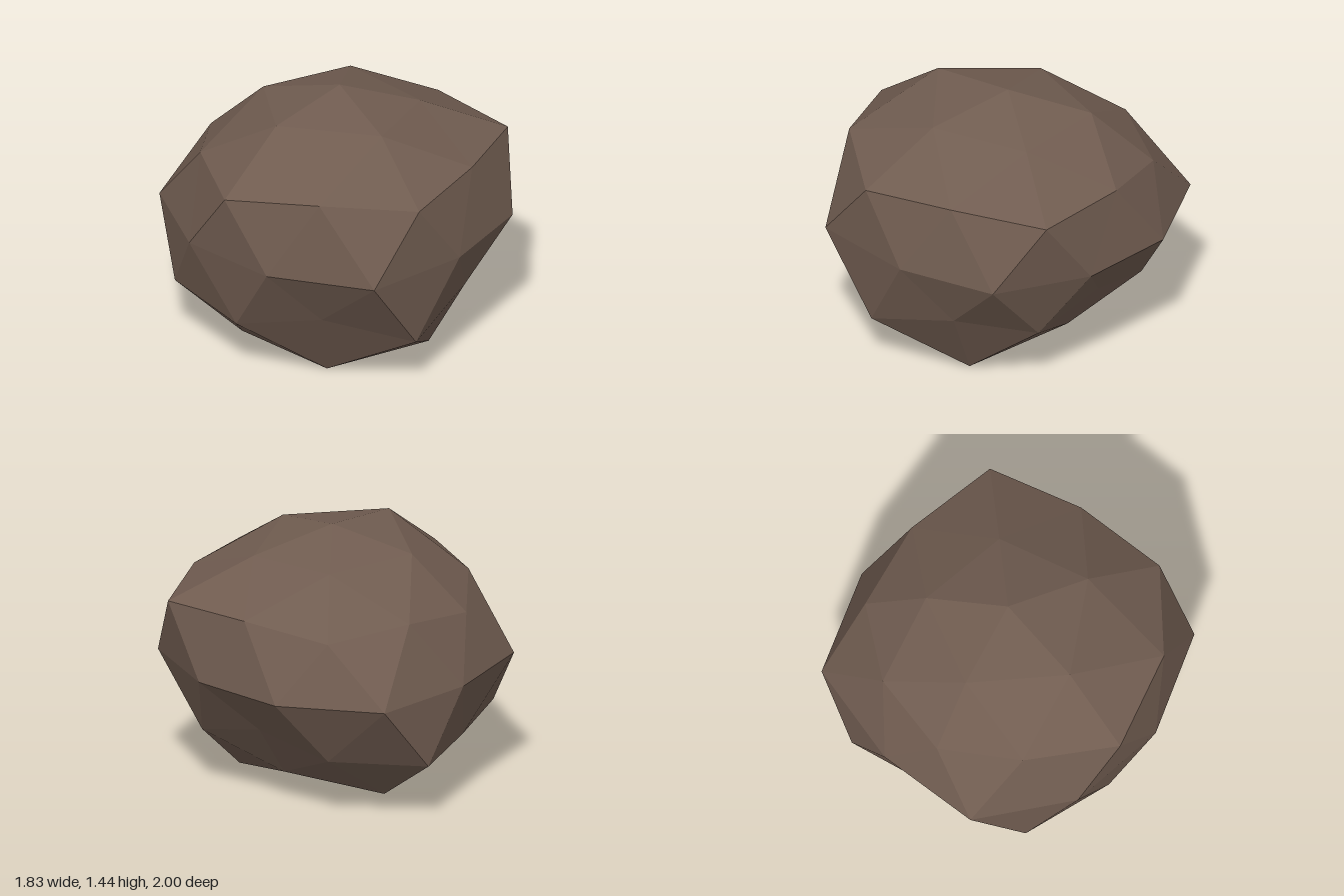
import * as THREE from 'three';

const CENTRE_Y = 0.72, FLATTEN = 0.83;

// One ring of points on a squashed sphere: height of the ring, first angle
// in degrees, and a radius for each evenly spaced point.
function ring(height, start, radii) {
  const across = Math.sqrt(1 - height * height);
  return radii.map((r, i) => {
    const a = THREE.MathUtils.degToRad(start + (360 / radii.length) * i);
    return [r * across * Math.cos(a), CENTRE_Y + r * height * FLATTEN, r * across * Math.sin(a)];
  });
}

function boulderGeometry() {
  // Rings of a once-divided icosahedron, pushed in and out
  const T = ring(1, 0, [0.87])[0];
  const U = ring(0.851, 0, [0.83, 0.89, 0.94, 0.86, 0.85]);
  const A = ring(0.447, 0, [1.02, 0.99, 1.0, 0.85, 0.87]);
  const M = ring(0.526, 36, [0.92, 1.0, 0.89, 0.86, 0.9]);
  const E = ring(0, 18, [0.93, 0.88, 1.0, 0.91, 0.915, 0.97, 0.885, 1.0, 0.9, 0.86]);
  const L = ring(-0.447, 36, [0.83, 0.83, 1.0, 1.02, 0.71]);
  const N = ring(-0.526, 0, [0.85, 1.0, 0.945, 0.87, 0.84]);
  const P = ring(-0.851, 36, [1.0, 1.01, 1.01, 0.94, 0.8]);
  const B = ring(-1, 0, [0.86])[0];

  const positions = [];
  const tri = (a, b, c) => positions.push(...c, ...b, ...a);
  for (let k = 0; k < 5; k++) {
    const n = (k + 1) % 5;
    const e0 = E[2 * k], e1 = E[2 * k + 1], e2 = E[(2 * k + 2) % 10];
    // Cap
    tri(T, U[k], U[n]);
    tri(U[k], A[k], M[k]);
    tri(U[k], M[k], U[n]);
    tri(U[n], M[k], A[n]);
    // Sides, pointing down
    tri(A[k], e0, M[k]);
    tri(M[k], e0, e1);
    tri(M[k], e1, A[n]);
    tri(e0, L[k], e1);
    // Sides, pointing up
    tri(A[n], e1, e2);
    tri(e1, L[k], N[n]);
    tri(e1, N[n], e2);
    tri(e2, N[n], L[n]);
    // Underside
    tri(L[k], P[k], N[n]);
    tri(P[k], P[n], N[n]);
    tri(N[n], P[n], L[n]);
    tri(P[k], B, P[n]);
  }
  const geometry = new THREE.BufferGeometry();
  geometry.setAttribute('position', new THREE.Float32BufferAttribute(positions, 3));
  geometry.computeVertexNormals(); // unshared corners give flat facets
  return geometry;
}

export function createModel() {
  const stone = new THREE.MeshStandardMaterial({ color: 0x705c50, flatShading: true });
  stone.name = 'brownStone';

  const boulder = new THREE.Mesh(boulderGeometry(), stone);
  boulder.name = 'boulder';

  const model = new THREE.Group();
  model.name = 'rock';
  model.add(boulder);
  return model;
}
